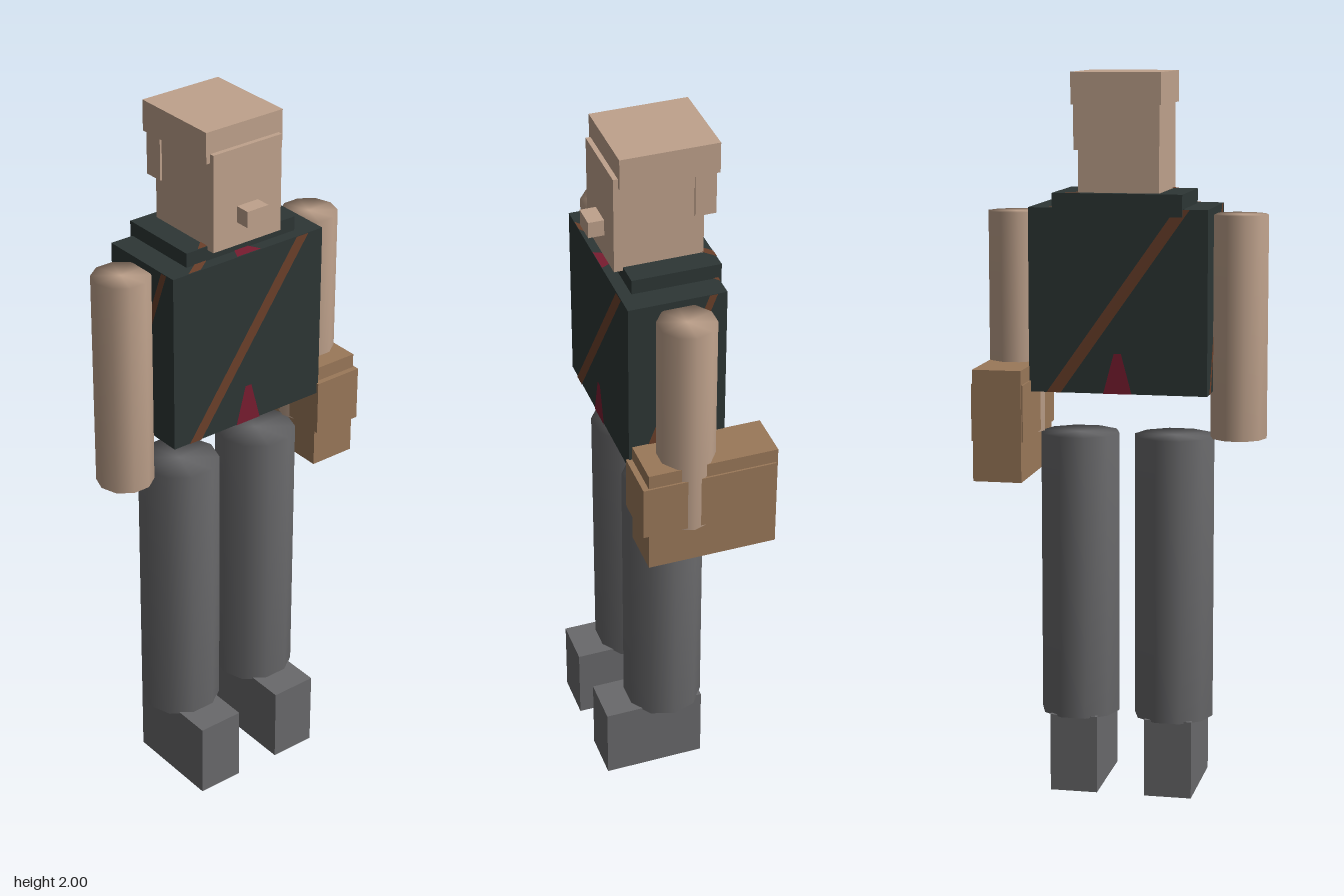
import * as THREE from 'three';
import { mergeVertices } from 'three/addons/utils/BufferGeometryUtils.js';

const paint = (name, color) => {
  const m = new THREE.MeshStandardMaterial({ color });
  m.name = name;
  return m;
};

export function createModel() {
  const skin = paint('skin', 0xbfa28c);
  const shirt = paint('darkShirt', 0x2d3635);
  const strap = paint('brownStrap', 0x6b402a);
  const red = paint('redPatch', 0x781c30);
  const grey = paint('greyTrousers', 0x69696b);
  const leather = paint('leather', 0x9a7859);
  const model = new THREE.Group();
  model.name = 'figure';

  // Box given by its min and max on each axis
  function box(name, mat, [x0, x1], [y0, y1], [z0, z1]) {
    const mesh = new THREE.Mesh(new THREE.BoxGeometry(x1 - x0, y1 - y0, z1 - z0), mat);
    mesh.position.set((x0 + x1) / 2, (y0 + y1) / 2, (z0 + z1) / 2);
    mesh.name = name;
    model.add(mesh);
    return mesh;
  }

  // Ten-sided limb, with normals blended across the rims
  function limb(name, mat, r, x, y0, y1, z) {
    let geo = new THREE.CylinderGeometry(r, r, y1 - y0, 10);
    geo.rotateY(Math.PI / 2);
    geo.deleteAttribute('normal');
    geo.deleteAttribute('uv');
    geo = mergeVertices(geo, 1e-4);
    geo.computeVertexNormals();
    const mesh = new THREE.Mesh(geo, mat);
    mesh.position.set(x, (y0 + y1) / 2, z);
    mesh.name = name;
    model.add(mesh);
  }

  // Flat patch, corners given as fractions of a face
  const patch = (pts, w, h) => new THREE.ShapeGeometry(
    new THREE.Shape(pts.map(([u, v]) => new THREE.Vector2((u - 0.5) * w, (v - 0.5) * h))));
  const stripePts = [[0.1, 0], [0.18, 0], [0.9, 1], [0.82, 1]];
  const redPts = [[0.42, 0], [0.58, 0], [0.52, 0.22], [0.48, 0.22]];

  // Diagonal strap and red patch on one face of a box
  function decorate(parent, w, h, d, rx, ry) {
    const face = new THREE.Group();
    face.name = 'shirtMarkings';
    face.rotation.set(rx, ry, 0);
    [[stripePts, strap, 'shirtStrap'], [redPts, red, 'shirtPatch']].forEach(([pts, mat, name]) => {
      const mesh = new THREE.Mesh(patch(pts, w, h), mat);
      mesh.position.z = d / 2 + 0.002;
      mesh.name = name;
      face.add(mesh);
    });
    parent.add(face);
  }

  // Torso, marked on every face
  const torso = box('torso', shirt, [-0.245, 0.245], [1.14, 1.64], [-0.112, 0.154]);
  const [W, H, D] = [0.49, 0.5, 0.266];
  [0, Math.PI].forEach((a) => decorate(torso, W, H, D, 0, a));
  [-1, 1].forEach((s) => {
    decorate(torso, D, H, W, 0, s * Math.PI / 2);
    decorate(torso, W, D, H, s * Math.PI / 2, 0);
  });

  // Collar, marked on top
  const collar = box('collar', shirt, [-0.177, 0.177], [1.62, 1.68], [-0.121, 0.121]);
  decorate(collar, 0.354, 0.242, 0.06, -Math.PI / 2, 0);

  // Head
  box('face', skin, [-0.11, 0.11], [1.67, 1.94], [-0.096, 0.145]);
  box('headTop', skin, [-0.122, 0.122], [1.915, 2], [-0.134, 0.132]);
  box('headBack', skin, [-0.116, 0.116], [1.795, 1.93], [-0.127, -0.07]);
  box('nose', skin, [-0.034, 0.034], [1.735, 1.78], [0.13, 0.188]);

  // Arms, legs and feet
  [['right', -1], ['left', 1]].forEach(([side, s]) => {
    limb(side + 'Arm', skin, 0.078, s * 0.311, 1.01, 1.62, 0.02);
    limb(side + 'Leg', grey, 0.111, s * 0.133, 0.215, 1.01, 0.022);
    const xs = s < 0 ? [-0.2, -0.067] : [0.067, 0.2];
    box(side + 'Foot', grey, xs, [0, 0.22], [-0.075, 0.211]);
  });

  // Shoulder bag with a slightly wider band
  box('bag', leather, [0.244, 0.378], [0.905, 1.21], [-0.212, 0.145]);
  box('bagBand', leather, [0.24, 0.383], [1.015, 1.17], [-0.207, 0.161]);

  return model;
}
